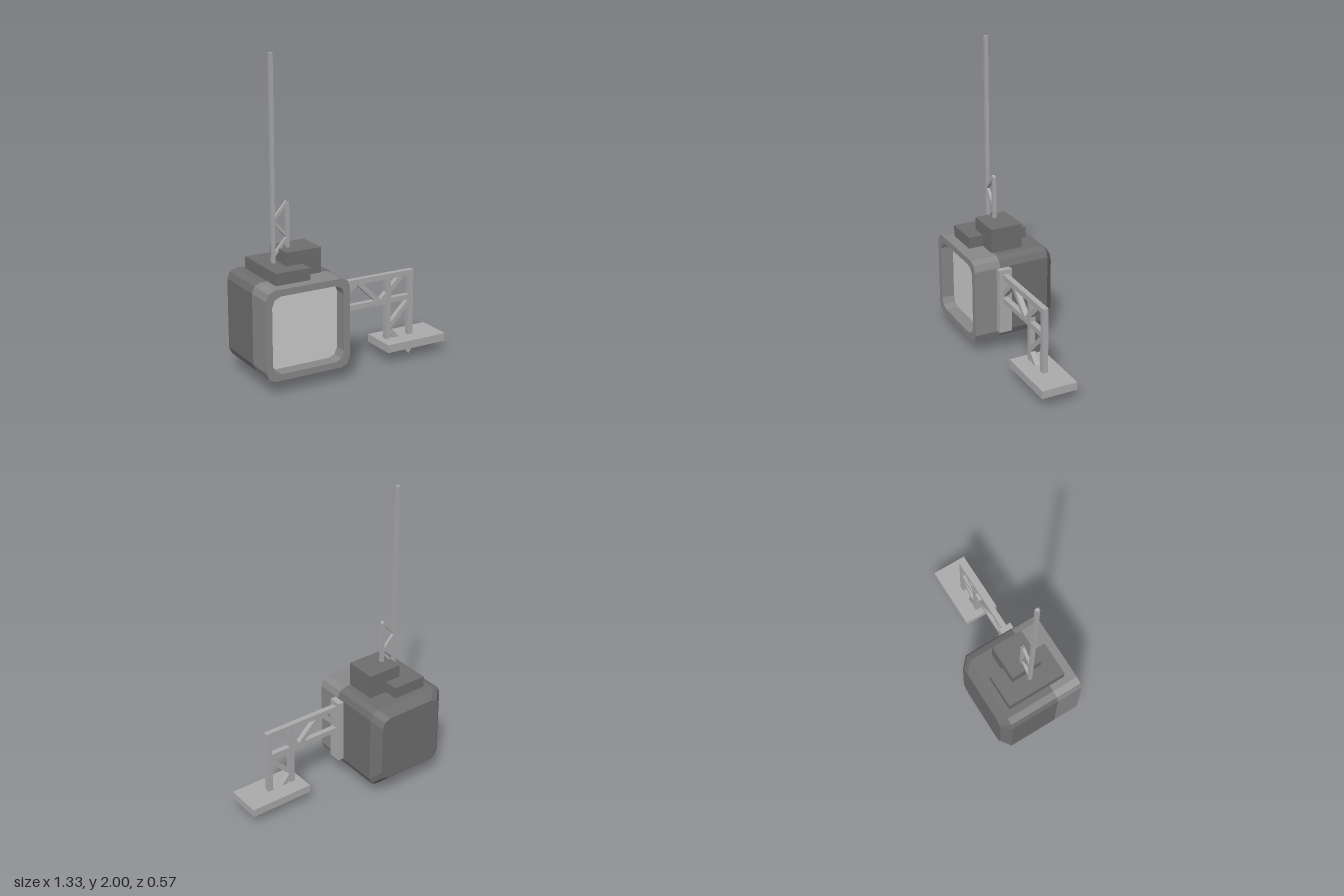
import * as THREE from 'three';

const grey = (color) => new THREE.MeshStandardMaterial({ color, flatShading: true });
const panelGrey = grey(0xcccccc);
const metalGrey = grey(0xaaaaaa);
const frameGrey = grey(0x888888);
const darkGrey = grey(0x6e6e6e);

function add(parent, name, geometry, material) {
  const mesh = new THREE.Mesh(geometry, material);
  mesh.name = name;
  parent.add(mesh);
  return mesh;
}

// Box given by its limits on each axis
function box(parent, name, material, x0, x1, y0, y1, z0, z1) {
  const mesh = add(parent, name, new THREE.BoxGeometry(x1 - x0, y1 - y0, z1 - z0), material);
  mesh.position.set((x0 + x1) / 2, (y0 + y1) / 2, (z0 + z1) / 2);
}

// Slanted metal bar between two points in an xy plane
function bar(parent, name, [x0, y0], [x1, y1], width, depth, z) {
  const length = Math.hypot(x1 - x0, y1 - y0);
  const mesh = add(parent, name, new THREE.BoxGeometry(length, width, depth), metalGrey);
  mesh.position.set((x0 + x1) / 2, (y0 + y1) / 2, z);
  mesh.rotation.z = Math.atan2(y1 - y0, x1 - x0);
}

function zigzag(parent, name, points, width, depth, z) {
  for (let i = 0; i < points.length - 1; i++) bar(parent, name, points[i], points[i + 1], width, depth, z);
}

// Square outline with two-step rounded corners, counter-clockwise
function roundedLoop(half, radius = 0.06) {
  const points = [];
  for (let corner = 0; corner < 4; corner++) {
    const a = Math.PI / 4 + (corner * Math.PI) / 2;
    const cx = Math.sign(Math.cos(a)) * (half - radius);
    const cy = Math.sign(Math.sin(a)) * (half - radius);
    for (let step = -1; step <= 1; step++) {
      const t = a + (step * Math.PI) / 4;
      points.push(new THREE.Vector2(cx + radius * Math.cos(t), cy + radius * Math.sin(t)));
    }
  }
  return points;
}

// Skin through square sections [half size, z]
function loft(sections) {
  const positions = [];
  const loops = sections.map(([half, z]) => roundedLoop(half).map((p) => [p.x, p.y, z]));
  for (let i = 0; i < loops.length - 1; i++) {
    const n = loops[i].length;
    for (let j = 0; j < n; j++) {
      const k = (j + 1) % n;
      const a = loops[i][j], b = loops[i][k], c = loops[i + 1][j], d = loops[i + 1][k];
      positions.push(...a, ...c, ...b, ...b, ...c, ...d);
    }
  }
  const geometry = new THREE.BufferGeometry();
  geometry.setAttribute('position', new THREE.Float32BufferAttribute(positions, 3));
  geometry.computeVertexNormals();
  return geometry;
}

function createCabin() {
  const cabin = new THREE.Group();
  cabin.name = 'cabin';
  cabin.position.set(-0.381, 0.376, 0);
  // Recess walls, front rim and the lighter front part of the sides
  add(cabin, 'frontFrame', loft([[0.2425, 0.2], [0.2425, 0.285], [0.2835, 0.285], [0.2835, 0.107]]), frameGrey);
  // Darker rear sides and chamfer
  add(cabin, 'rearShell', loft([[0.2835, 0.107], [0.2835, -0.23], [0.2285, -0.285]]), darkGrey);
  const panel = add(cabin, 'frontPanel', new THREE.ShapeGeometry(new THREE.Shape(roundedLoop(0.2425))), panelGrey);
  panel.position.z = 0.2;
  const back = add(cabin, 'backPanel', new THREE.ShapeGeometry(new THREE.Shape(roundedLoop(0.2285))), darkGrey);
  back.rotation.y = Math.PI;
  back.position.z = -0.285;
  return cabin;
}

function createRoofUnit() {
  const roof = new THREE.Group();
  roof.name = 'roofUnit';
  box(roof, 'lowRoofBox', darkGrey, -0.56, -0.328, 0.655, 0.735, -0.191, 0.215);
  box(roof, 'highRoofBox', darkGrey, -0.437, -0.201, 0.655, 0.82, -0.095, 0.118);
  // Tall mast braced against a short post
  const z = 0.012;
  box(roof, 'tallMast', metalGrey, -0.483, -0.462, 0.73, 2, 0.001, 0.024);
  box(roof, 'shortMast', metalGrey, -0.386, -0.365, 0.81, 1.1, 0.001, 0.024);
  zigzag(roof, 'mastBrace', [[-0.375, 1.105], [-0.473, 0.995], [-0.375, 0.885], [-0.473, 0.775]], 0.018, 0.02, z);
  return roof;
}

function createArm() {
  const arm = new THREE.Group();
  arm.name = 'sideArm';
  const z0 = 0.072, z1 = 0.108, z = 0.09;
  box(arm, 'mountPlate', metalGrey, -0.1, -0.057, 0.158, 0.596, 0.046, 0.133);
  box(arm, 'topChord', metalGrey, -0.06, 0.48, 0.532, 0.567, z0, z1);
  box(arm, 'bottomChord', metalGrey, -0.06, 0.48, 0.369, 0.404, z0, z1);
  box(arm, 'innerPost', metalGrey, 0.276, 0.311, 0.074, 0.54, z0, z1);
  box(arm, 'outerPost', metalGrey, 0.445, 0.48, 0.074, 0.567, z0, z1);
  // Diagonals along the arm, then down between the posts
  zigzag(arm, 'armBrace', [[-0.065, 0.427], [0.062, 0.552], [0.235, 0.385], [0.41, 0.552]], 0.032, 0.034, z);
  zigzag(arm, 'postBrace', [[0.464, 0.37], [0.294, 0.2], [0.462, 0.013]], 0.032, 0.034, z);
  box(arm, 'platform', metalGrey, 0.23, 0.663, 0.08, 0.132, -0.03, 0.209);
  return arm;
}

export function createModel() {
  const model = new THREE.Group();
  model.name = 'cabinWithMastAndArm';
  model.add(createCabin(), createRoofUnit(), createArm());
  return model;
}
